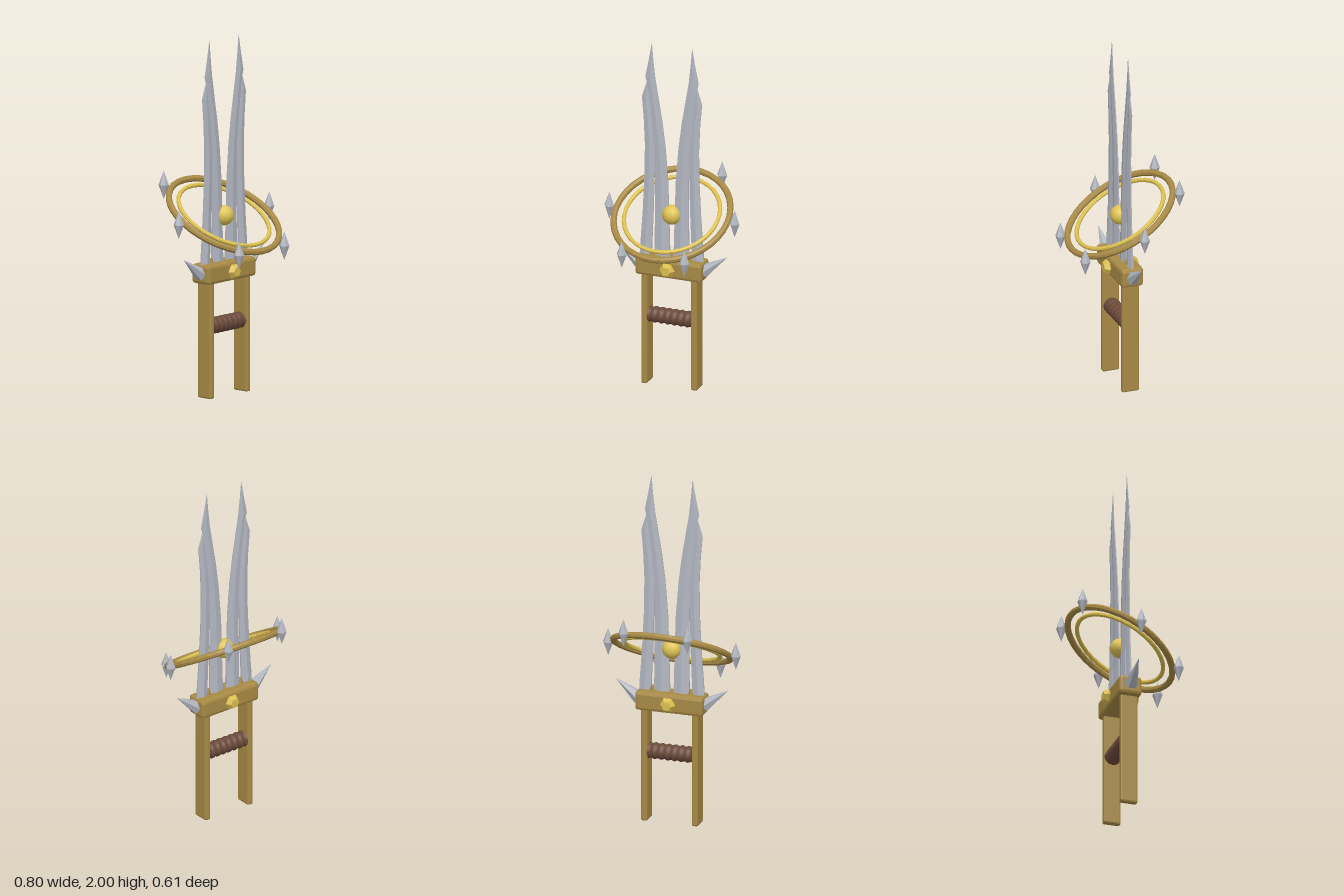
import * as THREE from 'three';
import { toCreasedNormals } from 'three/addons/utils/BufferGeometryUtils.js';
import { RoundedBoxGeometry } from 'three/addons/geometries/RoundedBoxGeometry.js';

const material = (color, flatShading = true) => new THREE.MeshStandardMaterial({ color, flatShading });
const bronze = material(0xa88a45);
const gold = material(0xdcc050);
const smoothGold = material(0xe0c455, false);
const leather = material(0x6b4a3a, false);
const steel = material(0xb4b8c2);
const bladeSteel = material(0xb4b8c2, false);

// Adds a named mesh at a position
function add(parent, name, geometry, mat, x = 0, y = 0, z = 0) {
  const mesh = new THREE.Mesh(geometry, mat);
  mesh.name = name;
  mesh.position.set(x, y, z);
  parent.add(mesh);
  return mesh;
}

const lathe = (points, sides, start = 0) =>
  new THREE.LatheGeometry(points.map(([r, y]) => new THREE.Vector2(r, y)), sides, start);

// Lofts a bevelled blade through rows of [height, inner x, outer x, half thickness]
function loftBlade(rows, side) {
  const positions = [];
  const index = [];
  const n = 6;
  for (const [y, inner, outer, t] of rows) {
    const lo = Math.min(inner * side, outer * side);
    const hi = Math.max(inner * side, outer * side);
    const mid = (lo + hi) / 2;
    const e = t * 0.3;
    for (const [x, z] of [[hi, -e], [mid, -t], [lo, -e], [lo, e], [mid, t], [hi, e]]) positions.push(x, y, z);
  }
  for (let r = 0; r < rows.length - 1; r++) {
    for (let i = 0; i < n; i++) {
      const a = r * n + i;
      const b = r * n + ((i + 1) % n);
      index.push(a, b, b + n, a, b + n, a + n);
    }
  }
  const top = (rows.length - 1) * n;
  for (let i = 1; i < n - 1; i++) index.push(0, i + 1, i, top, top + i, top + i + 1);
  const geometry = new THREE.BufferGeometry();
  geometry.setAttribute('position', new THREE.Float32BufferAttribute(positions, 3));
  geometry.setIndex(index);
  return toCreasedNormals(geometry, 0.25);
}

const innerRows = [
  [0.7, 0.01, 0.103, 0.02], [0.8, 0.012, 0.102, 0.017], [1.0, 0.017, 0.1, 0.012],
  [1.2, 0.023, 0.1, 0.011], [1.4, 0.039, 0.106, 0.01], [1.55, 0.058, 0.122, 0.009],
  [1.68, 0.08, 0.14, 0.008], [1.77, 0.095, 0.149, 0.008], [1.8, 0.1, 0.158, 0.007],
  [1.9, 0.111, 0.138, 0.005], [2.0, 0.119, 0.121, 0.001],
];
const outerRows = [
  [0.7, 0.122, 0.19, 0.02], [0.8, 0.119, 0.187, 0.017], [1.0, 0.11, 0.173, 0.012],
  [1.2, 0.104, 0.163, 0.011], [1.4, 0.102, 0.16, 0.01], [1.55, 0.115, 0.167, 0.009],
  [1.68, 0.13, 0.178, 0.008], [1.77, 0.145, 0.15, 0.004],
];

export function createModel() {
  const model = new THREE.Group();
  model.name = 'twinBladePunchDagger';

  // Guard block
  add(model, 'guard', new RoundedBoxGeometry(0.395, 0.11, 0.13, 1, 0.018), bronze, 0, 0.7, 0);

  // Wavy wrapped grip between the rails
  const gripProfile = [];
  for (let i = 0; i <= 42; i++) {
    gripProfile.push([0.044 + 0.003 * Math.cos((i / 42) * Math.PI * 14), -0.135 + (i / 42) * 0.27]);
  }
  add(model, 'grip', lathe(gripProfile, 16), leather, 0, 0.4, 0).rotation.z = Math.PI / 2;

  for (const side of [1, -1]) {
    const label = side > 0 ? 'left' : 'right';

    // Forearm rail
    add(model, label + 'Rail', new RoundedBoxGeometry(0.036, 0.66, 0.1, 1, 0.01), bronze, side * 0.148, 0.33, 0);

    // Split blade: long inner prong and hooked outer prong
    const blade = new THREE.Group();
    blade.name = label + 'Blade';
    model.add(blade);
    add(blade, 'innerProng', loftBlade(innerRows, side), bladeSteel);
    add(blade, 'outerProng', loftBlade(outerRows, side), bladeSteel);
    add(model, label + 'BladeSocket', new THREE.CylinderGeometry(0.01, 0.018, 0.03, 6), bronze, side * 0.112, 0.765, 0);

    // Spike slanting out of the guard's end
    const spike = add(model, label + 'GuardSpike', new THREE.ConeGeometry(0.04, 0.172, 6), steel, side * 0.26, 0.75, 0);
    spike.rotation.z = -side * Math.atan2(0.14, 0.1);

    // Faceted stud on the front and back of the guard
    const stud = lathe([[0.03, 0], [0.045, 0.014], [0.028, 0.04], [0, 0.04]], 6, Math.PI / 6);
    add(model, side > 0 ? 'frontStud' : 'backStud', stud, gold, 0, 0.7, side * 0.06).rotation.x = side * Math.PI / 2;
  }

  // Central orb
  add(model, 'orb', new THREE.SphereGeometry(0.056, 12, 10), smoothGold, 0, 1.005, 0);

  // Two concentric rings tilted down towards the front
  const tilt = Math.PI / 6;
  const halo = new THREE.Group();
  halo.name = 'halo';
  halo.position.y = 1.005;
  model.add(halo);
  const rings = [['outerRing', 0.328, 0.018, bronze], ['innerRing', 0.27, 0.012, gold]];
  for (const [name, radius, tube, mat] of rings) {
    add(halo, name, new THREE.TorusGeometry(radius, tube, 8, 36), mat).rotation.x = Math.PI / 2 + tilt;
  }

  // Six upright crystals around the outer ring
  const crystal = lathe([[0, -0.08], [0.029, 0], [0, 0.08]], 6, Math.PI / 6);
  for (let i = 0; i < 6; i++) {
    const a = (i * Math.PI) / 3;
    const reach = 0.372 * Math.sin(a);
    add(halo, 'crystal', crystal, steel, 0.372 * Math.cos(a), -reach * Math.sin(tilt), reach * Math.cos(tilt));
  }
  return model;
}
